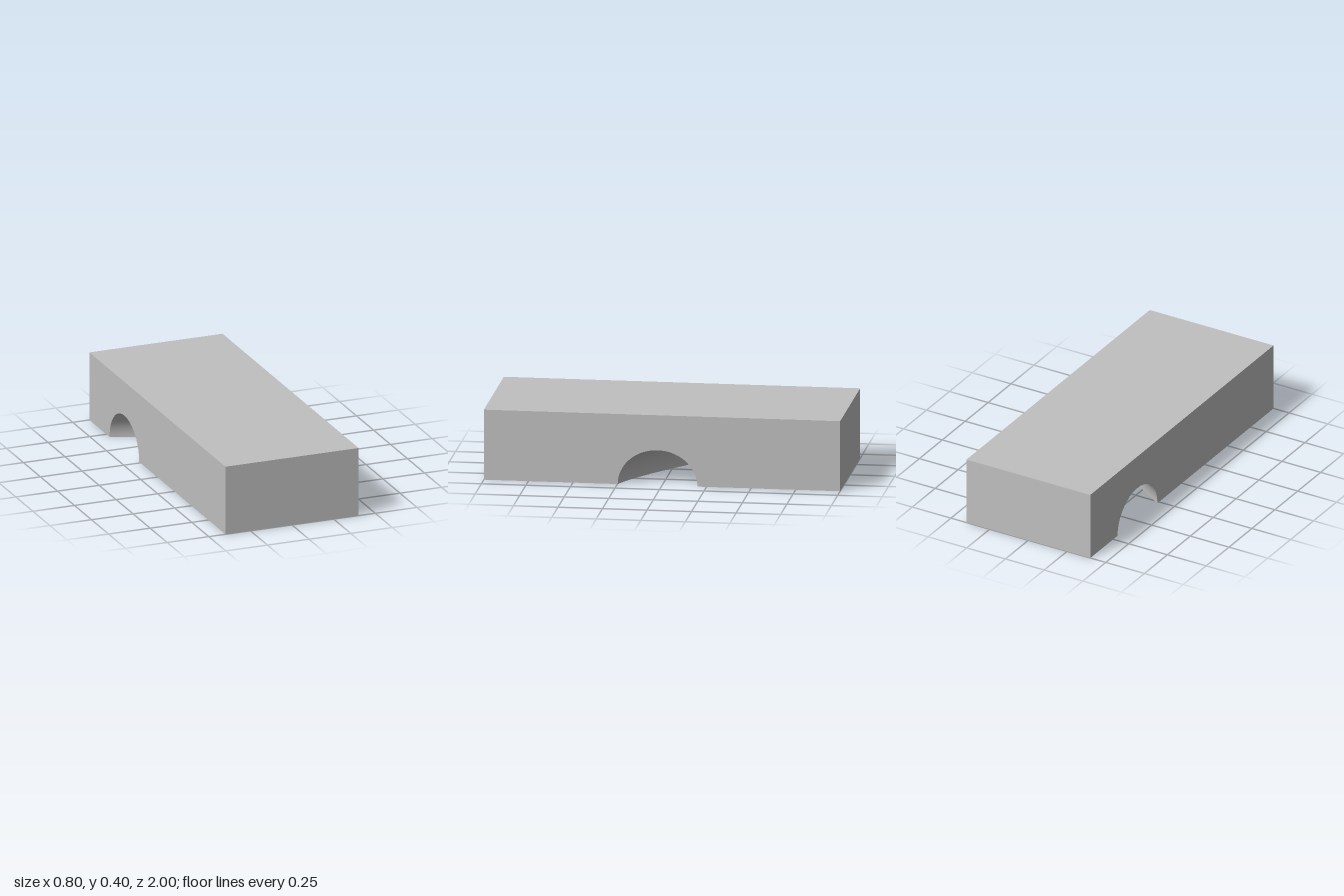
import * as THREE from 'three';
import { mergeGeometries, toCreasedNormals } from 'three/addons/utils/BufferGeometryUtils.js';

const HALF_X = 0.4, HALF_Z = 1, HEIGHT = 0.4, RADIUS = 0.2;
const STATIONS = 32, ARC = 40;

// S-shaped tunnel centreline z(x) and its slope
const Z0 = -0.485, Z1 = 0.025, S0 = 0.43, S1 = 0.5;
function centreline(x) {
  const w = 2 * HALF_X, t = (x + HALF_X) / w, d = Z1 - Z0;
  const c = S0 * w, b = 3 * d - 2 * c - S1 * w, a = c + S1 * w - 2 * d;
  return { z: Z0 + t * (c + t * (b + t * a)), slope: (c + t * (2 * b + t * 3 * a)) / w };
}

// Cross-section of the block at x, as [z, y] points with the arch cut out
function section(x) {
  const { z, slope } = centreline(x);
  const halfWidth = RADIUS * Math.hypot(1, slope);
  const ring = [[HALF_Z, 0], [HALF_Z, HEIGHT], [-HALF_Z, HEIGHT], [-HALF_Z, 0]];
  for (let i = 0; i <= ARC; i++) {
    const angle = Math.PI * (1 - i / ARC);
    ring.push([z + halfWidth * Math.cos(angle), RADIUS * Math.sin(angle)]);
  }
  return ring;
}

// Outer faces and tunnel wall, joined section by section
function sweptWalls() {
  const positions = [];
  const rows = Array.from({ length: STATIONS + 1 }, (_, i) => {
    const x = -HALF_X + (2 * HALF_X * i) / STATIONS;
    return section(x).map(([z, y]) => [x, y, z]);
  });
  for (let i = 0; i < STATIONS; i++) {
    const p = rows[i], q = rows[i + 1];
    for (let j = 0; j < p.length; j++) {
      const k = (j + 1) % p.length;
      positions.push(...p[j], ...q[j], ...p[k], ...p[k], ...q[j], ...q[k]);
    }
  }
  const geometry = new THREE.BufferGeometry();
  geometry.setAttribute('position', new THREE.Float32BufferAttribute(positions, 3));
  return toCreasedNormals(geometry, Math.PI / 6);
}

// Flat side with the arched opening; side is +1 or -1 along x
function sideFace(side) {
  const outline = section(side * HALF_X).map(([z, y]) => new THREE.Vector2(-side * z, y));
  const geometry = new THREE.ShapeGeometry(new THREE.Shape(outline)).toNonIndexed();
  geometry.deleteAttribute('uv');
  return geometry.rotateY((side * Math.PI) / 2).translate(side * HALF_X, 0, 0);
}

export function createModel() {
  const grey = new THREE.MeshStandardMaterial({ color: 0xc0c0c0 });
  grey.name = 'plain grey';

  const block = new THREE.Mesh(mergeGeometries([sweptWalls(), sideFace(1), sideFace(-1)]), grey);
  block.name = 'blockWithCurvedTunnel';

  const model = new THREE.Group();
  model.name = 'tunnelBlock';
  model.add(block);
  return model;
}
